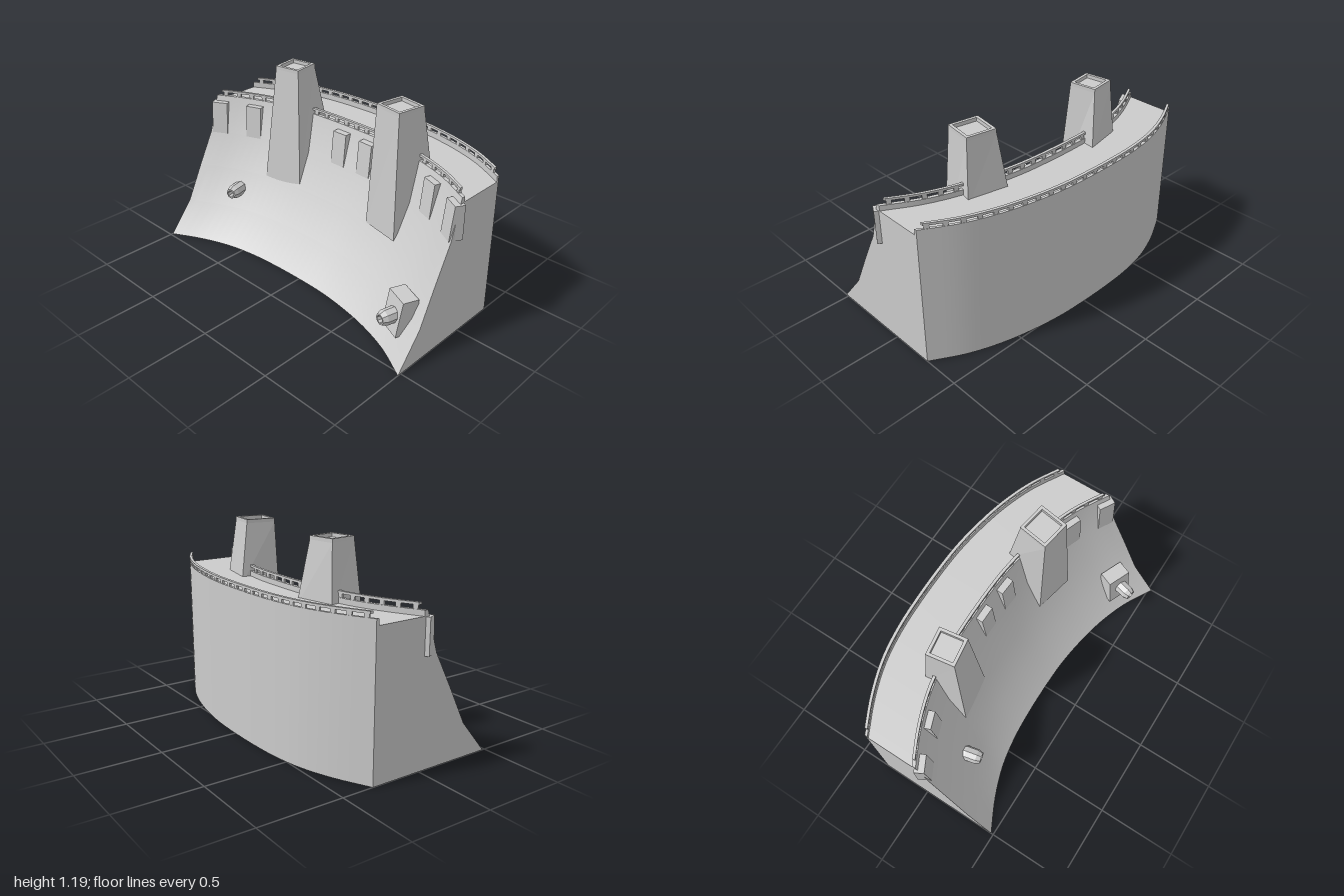
import * as THREE from 'three';
import { toCreasedNormals } from 'three/addons/utils/BufferGeometryUtils.js';

const grey = new THREE.MeshStandardMaterial({ color: 0xcccccc });
const pipeGrey = new THREE.MeshStandardMaterial({ color: 0xcccccc, flatShading: true, side: THREE.DoubleSide });

// Plan curve of the dam's front foot; every lengthwise part follows it.
const plan = new THREE.CatmullRomCurve3([
  [-1, 0.485], [-0.8, 0.385], [-0.6, 0.315], [-0.4, 0.28], [-0.2, 0.267], [0, 0.265],
  [0.2, 0.272], [0.4, 0.298], [0.6, 0.342], [0.8, 0.413], [1, 0.522],
].map(([x, z]) => new THREE.Vector3(x, 0, z))).getPoints(200);

function footZ(x) {
  const i = Math.max(1, plan.findIndex((p) => p.x >= x - 1e-6));
  const a = plan[i - 1], b = plan[i];
  return a.z + (b.z - a.z) * (x - a.x) / (b.x - a.x);
}
// Rotation about y that lines a part up with the curve
const turnAt = (x) => -Math.atan2(footZ(x + 0.02) - footZ(x - 0.02), 0.04);

function add(parent, name, geometry, material = grey) {
  const mesh = new THREE.Mesh(geometry, material);
  mesh.name = name;
  parent.add(mesh);
  return mesh;
}

// Sweeps a closed section of [z offset, y] along the curve from -half to half.
function sweep(section, half, steps = 40) {
  const pos = [], idx = [], n = section.length;
  for (let i = 0; i <= steps; i++) {
    const x = half * (2 * i / steps - 1), z = footZ(x);
    for (const [dz, y] of section) pos.push(x, y, z + dz);
  }
  for (let i = 0; i < steps; i++) {
    for (let j = 0; j < n; j++) {
      const a = i * n + j, b = a + n, d = i * n + (j + 1) % n, c = d + n;
      idx.push(a, b, c, a, c, d);
    }
  }
  const caps = THREE.ShapeUtils.triangulateShape(section.map(([z, y]) => new THREE.Vector2(z, y)), []);
  const last = steps * n;
  for (const [a, b, c] of caps) idx.push(a, b, c, last + a, last + c, last + b);
  const g = new THREE.BufferGeometry();
  g.setAttribute('position', new THREE.Float32BufferAttribute(pos, 3));
  g.setIndex(idx);
  return toCreasedNormals(g, 0.45);
}

// Box whose eight corners are placed by a rule of the corner signs.
function block(rule) {
  const g = new THREE.BoxGeometry(2, 2, 2).toNonIndexed();
  const p = g.attributes.position;
  for (let i = 0; i < p.count; i++) p.setXYZ(i, ...rule(p.getX(i), p.getY(i), p.getZ(i)));
  g.computeVertexNormals();
  return g;
}

// Block with a leaning front, deeper at the foot than at the top
function wedge(width, y0, y1, back, frontLow, frontHigh) {
  return block((sx, sy, sz) => [
    sx * width / 2, sy > 0 ? y1 : y0, sz < 0 ? back : sy > 0 ? frontHigh : frontLow]);
}

// Tapered tower with a shallow recess in its top
function tower(name, cx, cz, size, turn, corners) {
  const group = new THREE.Group();
  group.name = name;
  const h = size / 2, rimY = 1.168;
  add(group, 'towerBody', block((sx, sy, sz) => {
    if (sy > 0) {
      return [cx + h * (sx * Math.cos(turn) + sz * Math.sin(turn)), rimY,
        cz + h * (sz * Math.cos(turn) - sx * Math.sin(turn))];
    }
    const [x, z] = corners[(sz > 0 ? 2 : 0) + (sx > 0 ? 1 : 0)];
    return [x, sz > 0 ? 0.43 : 0.8, z];
  }));
  const square = (r) => [[-r, -r], [r, -r], [r, r], [-r, r]].map(([x, y]) => new THREE.Vector2(x, y));
  const frame = new THREE.Shape(square(h));
  frame.holes.push(new THREE.Path(square(h - 0.018)));
  const rim = add(group, 'towerRim', new THREE.ExtrudeGeometry(frame, { depth: 1.19 - rimY, bevelEnabled: false })
    .rotateX(-Math.PI / 2));
  rim.position.set(cx, rimY, cz);
  rim.rotation.y = turn;
  return group;
}

// Hollow outlet pipe pointing forward
function pipe(parent, name, x, y, z, length, turn) {
  const profile = [[0.038, 0], [0.046, 0.03], [0.046, length - 0.03], [0.034, length],
    [0.024, length], [0.022, length - 0.05], [0, length - 0.05]].map(([r, h]) => new THREE.Vector2(r, h));
  const mesh = add(parent, name, new THREE.LatheGeometry(profile, 8).rotateX(Math.PI / 2), pipeGrey);
  mesh.position.set(x, y, z);
  mesh.rotation.y = turn;
}

export function createModel() {
  const dam = new THREE.Group();
  dam.name = 'dam';

  // Wall with sloping front, sunken roadway and low parapets
  add(dam, 'damWall', sweep([
    [0, 0], [-0.165, 0.2], [-0.28, 0.43], [-0.39, 0.64], [-0.46, 0.877],
    [-0.483, 0.877], [-0.483, 0.845], [-0.778, 0.845], [-0.778, 0.88], [-0.795, 0.88], [-0.795, 0],
  ], 1));

  // Railings on both parapets
  for (const [name, dz] of [['frontRailing', -0.472], ['backRailing', -0.786]]) {
    const railing = new THREE.Group();
    railing.name = name;
    add(railing, 'handrail', sweep([
      [dz + 0.009, 0.9], [dz + 0.009, 0.914], [dz - 0.009, 0.914], [dz - 0.009, 0.9]], 0.97));
    const count = 24;
    for (let i = 0; i < count; i++) {
      const x = -0.95 + 1.9 * i / (count - 1);
      const post = add(railing, 'railPost', new THREE.BoxGeometry(0.028, 0.03, 0.013));
      post.position.set(x, 0.888, footZ(x) + dz);
      post.rotation.y = turnAt(x);
    }
    dam.add(railing);
  }

  // Towers; corners are back left, back right, front left, front right in plan
  dam.add(tower('rightTower', -0.415, -0.14, 0.17, 0.15,
    [[-0.545, -0.234], [-0.29, -0.287], [-0.545, 0.02], [-0.273, -0.02]]));
  dam.add(tower('leftTower', 0.46, -0.088, 0.185, -0.16,
    [[0.354, -0.255], [0.606, -0.205], [0.315, 0.01], [0.57, 0.064]]));

  // Small buttresses under the crest
  for (const x of [-0.943, -0.723, -0.043, 0.167, 0.725, 0.943]) {
    const buttress = add(dam, 'buttress', wedge(0.105, 0.635, 0.842, -0.07, 0.01, -0.012));
    buttress.position.set(x, 0, footZ(x) - 0.395);
    buttress.rotation.y = turnAt(x);
  }

  // Outlets: one straight from the wall, one from a housing
  const housing = add(dam, 'outletHousing', wedge(0.157, 0.1, 0.312, -0.09, 0.045, 0.005));
  housing.position.set(0.815, 0, 0.32);
  housing.rotation.y = -0.4;
  pipe(dam, 'leftOutlet', 0.825, 0.208, 0.315, 0.125, -0.25);
  pipe(dam, 'rightOutlet', -0.71, 0.322, 0.09, 0.13, 0.22);

  return dam;
}
